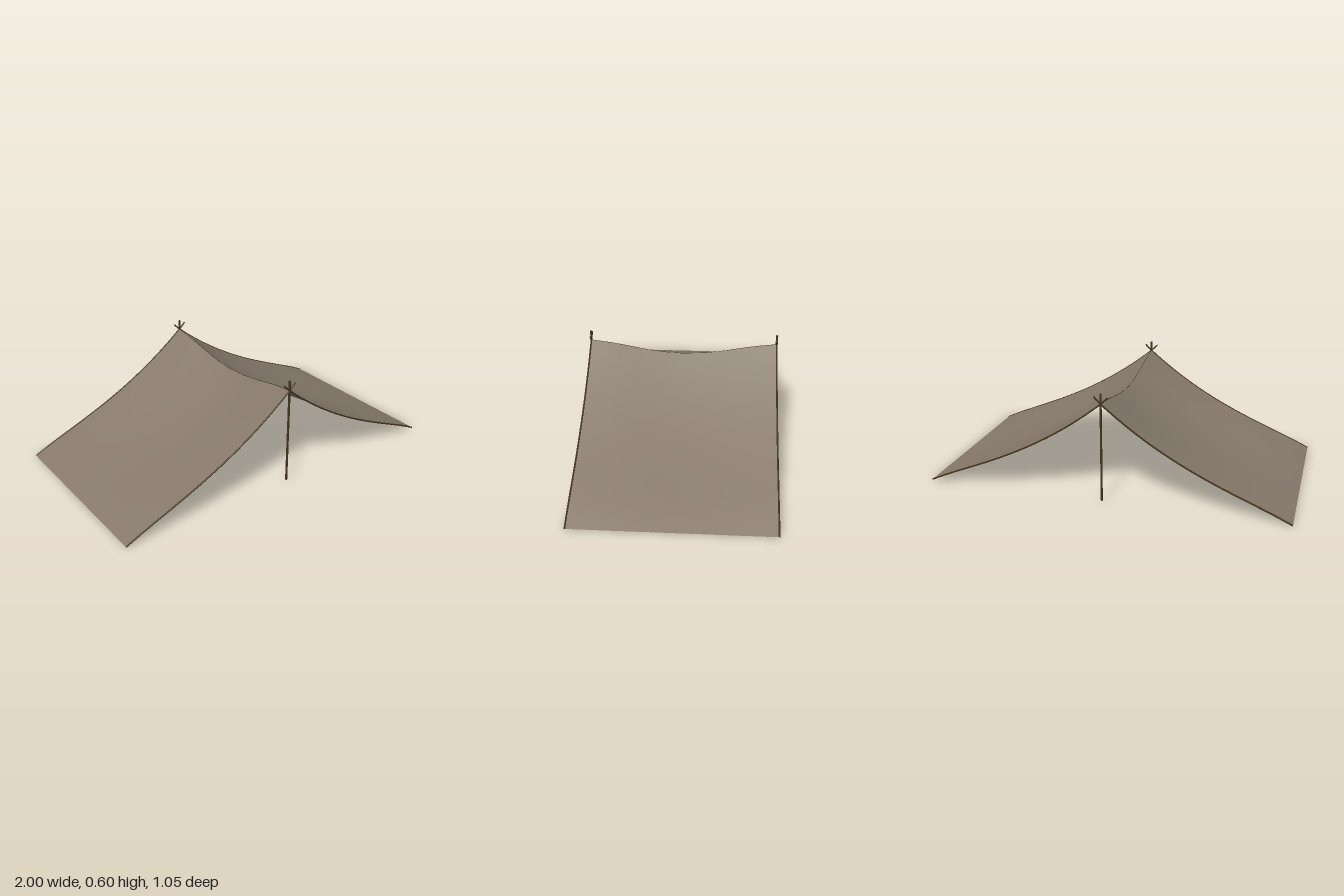
import * as THREE from 'three';

const canvas = new THREE.MeshStandardMaterial({ color: 0x877a6c, side: THREE.DoubleSide });
canvas.name = 'canvas';
const wood = new THREE.MeshStandardMaterial({ color: 0x45351c });
wood.name = 'dark wood';

const HALF_DEPTH = 0.521;

// height of the cloth: a from ridge (0) to ground edge (1), v from middle (0) to either end (1)
function height(a, v) {
  const slope = 0.005 + 0.545 * (1 - a);
  const hang = 0.3 * a * Math.pow(Math.max(0, 1 - a), 1.5);
  const ridgeSag = 0.07 * Math.pow(Math.max(0, Math.cos(v * Math.PI / 2)), 1.5);
  return slope - hang - ridgeSag * (1 - a);
}

export function createModel() {
  const group = new THREE.Group();
  const add = (name, geometry, material) => {
    const mesh = new THREE.Mesh(geometry, material);
    mesh.name = name;
    group.add(mesh);
    return mesh;
  };

  // Two sagging cloth panels meeting at a sharp ridge
  for (const side of [-1, 1]) {
    const panel = new THREE.PlaneGeometry(1, 2, 16, 8).translate(side * 0.5, 0, 0);
    const p = panel.attributes.position;
    for (let i = 0; i < p.count; i++) {
      const x = p.getX(i), v = p.getY(i), a = Math.abs(x);
      const inset = 0.004 * Math.sin(Math.PI * a);
      p.setXYZ(i, x * 0.999, height(a, v), -v * (HALF_DEPTH - inset));
    }
    panel.computeVertexNormals();
    add(side > 0 ? 'leftClothPanel' : 'rightClothPanel', panel, canvas);
  }

  // Thin cord along the ridge
  const ridge = [];
  for (let i = -4; i <= 4; i++) ridge.push(new THREE.Vector3(0, height(0, i / 4), i / 4 * HALF_DEPTH));
  add('ridgeCord', new THREE.TubeGeometry(new THREE.CatmullRomCurve3(ridge), 16, 0.0015, 5), wood);

  for (const end of [-1, 1]) {
    const label = end > 0 ? 'front' : 'back';

    // Upright pole
    const pole = add(label + 'Pole', new THREE.CylinderGeometry(0.006, 0.006, 0.598, 8), wood);
    pole.position.set(0, 0.306, end * HALF_DEPTH);

    // Curved edge poles that cross above the ridge
    for (const side of [-1, 1]) {
      const points = [new THREE.Vector3(-side * 0.037, 0.586, end * HALF_DEPTH)];
      for (let i = 0; i <= 10; i++) {
        const a = i / 10;
        points.push(new THREE.Vector3(side * a * 0.998, height(a, 1), end * (HALF_DEPTH + 0.001)));
      }
      const curve = new THREE.CatmullRomCurve3(points);
      add(label + (side > 0 ? 'Left' : 'Right') + 'EdgePole', new THREE.TubeGeometry(curve, 28, 0.0045, 6), wood);

      // Closed tips
      for (const [tip, t] of [['Top', 0], ['Foot', 1]]) {
        const cap = add(label + tip + 'Cap', new THREE.CircleGeometry(0.0045, 6), wood);
        cap.position.copy(curve.getPoint(t));
        const out = curve.getTangent(t).multiplyScalar(t ? 1 : -1);
        cap.quaternion.setFromUnitVectors(new THREE.Vector3(0, 0, 1), out);
      }
    }
  }
  return group;
}
